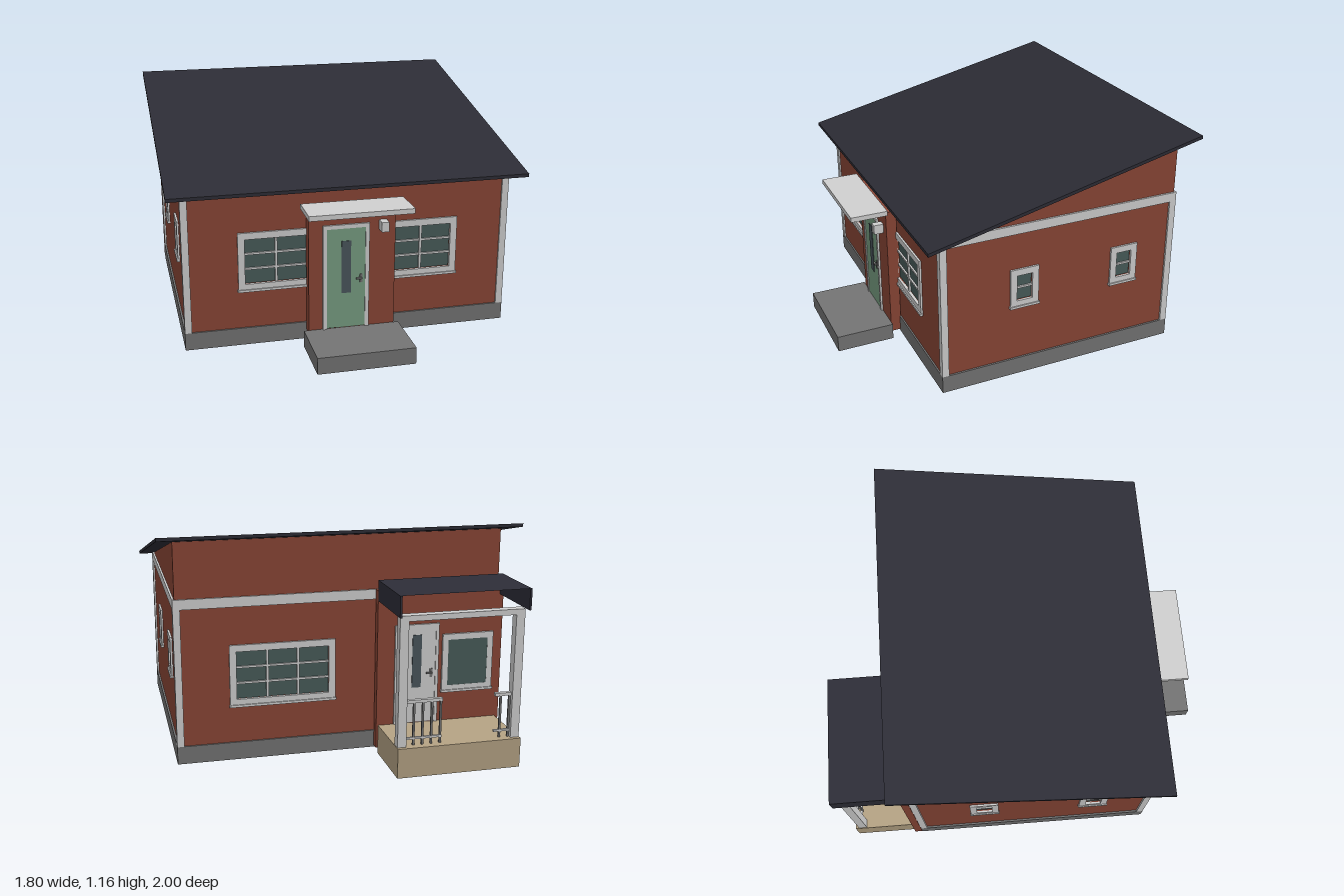
import * as THREE from 'three';

const mat = (name, color, side = THREE.FrontSide) => {
  const m = new THREE.MeshStandardMaterial({ color, side });
  m.name = name;
  return m;
};

export function createModel() {
  const house = new THREE.Group();
  house.name = 'house';
  const brick = mat('brick red', 0x8a4636);
  const dark = mat('roof charcoal', 0x2d2d36);
  const darkOpen = mat('canopy charcoal', 0x2e2e38);
  const white = mat('trim white', 0xd0d0d0);
  const grey = mat('concrete grey', 0x747474);
  const tan = mat('porch tan', 0xb5a384);
  const green = mat('door green', 0x789e82);
  const glass = mat('window glass', 0x485c5a);
  const slit = mat('door glass', 0x4a555c);

  // Box given by its limits on each axis
  const box = (name, m, x0, x1, y0, y1, z0, z1, parent = house) => {
    const mesh = new THREE.Mesh(new THREE.BoxGeometry(x1 - x0, y1 - y0, z1 - z0), m);
    mesh.position.set((x0 + x1) / 2, (y0 + y1) / 2, (z0 + z1) / 2);
    mesh.name = name;
    parent.add(mesh);
    return mesh;
  };

  // Extruded panel with rectangular openings [centre, bottom, width, height]
  const panel = (points, holes, depth) => {
    const s = new THREE.Shape(points.map(p => new THREE.Vector2(...p)));
    for (const [c, y, w, h] of holes) {
      s.holes.push(new THREE.Path([[c - w / 2, y], [c - w / 2, y + h], [c + w / 2, y + h], [c + w / 2, y]]
        .map(p => new THREE.Vector2(...p))));
    }
    return new THREE.ExtrudeGeometry(s, { depth, bevelEnabled: false });
  };
  const addGeo = (name, geo, m) => {
    const mesh = new THREE.Mesh(geo, m);
    mesh.name = name;
    house.add(mesh);
  };

  // Window facing local +z, its origin at the bottom centre
  const makeWindow = (name, w, h, f, cols, rows) => {
    const g = new THREE.Group();
    g.name = name;
    const a = w / 2;
    box('frameBottom', white, -a, a, 0, f, -0.004, 0.01, g);
    box('frameTop', white, -a, a, h - f, h, -0.004, 0.01, g);
    for (const s of [-1, 1]) {
      const c = s * (a - f / 2);
      box('frameSide', white, c - f / 2, c + f / 2, f, h - f, -0.004, 0.01, g);
    }
    box('sill', white, -a - 0.004, a + 0.004, -0.006, 0.006, 0, 0.016, g);
    box('pane', glass, -a + f, a - f, f, h - f, -0.02, -0.006, g);
    for (let i = 1; i < cols; i++) {
      const x = -a + f + (w - 2 * f) * i / cols;
      box('upright', white, x - 0.006, x + 0.006, f, h - f, -0.008, 0.004, g);
    }
    for (let i = 1; i < rows; i++) {
      const y = f + (h - 2 * f) * i / rows;
      box('crossBar', white, -a + f, a - f, y - 0.005, y + 0.005, -0.008, 0.003, g);
    }
    house.add(g);
    return g;
  };
  const place = (g, x, y, z, turn) => {
    g.position.set(x, y, z);
    g.rotation.y = turn;
  };
  const opening = (c, y, w, h, f) => [c, y + f, w - 2 * f, h - 2 * f];

  // Height of the underside of the sloping roof
  const under = z => 0.818 + 0.2295 * (0.73 - z);
  const X = 0.82, ZF = 0.642, ZB = -0.612, T = 0.02;

  // Plinth ring
  box('plinthFront', grey, -0.83, 0.83, 0.02, 0.11, 0.62, 0.65);
  box('plinthBack', grey, -0.83, 0.83, 0.02, 0.11, -0.62, -0.59);
  for (const s of [-1, 1]) box('plinthSide', grey, s * 0.815 - 0.015, s * 0.815 + 0.015, 0.02, 0.11, -0.59, 0.62);

  // Front wall and windows
  const rect = top => [[-X, 0.11], [X, 0.11], [X, top], [-X, top]];
  const F = 0.034;
  addGeo('frontWall', panel(rect(under(ZF)), [-0.37, 0.37].map(c => opening(c, 0.31, 0.38, 0.3, F)), T)
    .translate(0, 0, ZF - T), brick);
  for (const c of [-0.37, 0.37]) place(makeWindow('frontWindow', 0.38, 0.3, F, 2, 3), c, 0.31, ZF, 0);

  // Back wall and its wide window
  addGeo('backWall', panel(rect(under(ZB)), [opening(0.3, 0.3, 0.53, 0.31, F)], T).translate(0, 0, ZB), brick);
  place(makeWindow('backWindow', 0.53, 0.31, F, 3, 3), 0.3, 0.3, ZB, Math.PI);

  // Side walls with a sloping top
  const sideWindows = { '1': [0.215, -0.335], '-1': [0.34, -0.245] };
  for (const s of [-1, 1]) {
    const zs = sideWindows[s];
    const za = ZB + T, zb = ZF - T;
    const geo = panel([[za, 0.11], [zb, 0.11], [zb, under(zb)], [za, under(za)]],
      zs.map(z => opening(z, 0.405, 0.15, 0.205, F)), T);
    geo.rotateY(-Math.PI / 2).translate(s > 0 ? X : -X + T, 0, 0);
    addGeo('sideWall', geo, brick);
    for (const z of zs) place(makeWindow('sideWindow', 0.15, 0.205, F, 1, 2), s * X, 0.405, z, s * Math.PI / 2);
  }

  // Corner boards and the band around the top of the walls
  for (const s of [-1, 1]) {
    const x0 = s > 0 ? 0.795 : -0.83, x1 = x0 + 0.035;
    box('cornerBoardFront', white, x0, x1, 0.11, 0.81, 0.615, 0.65);
    box('cornerBoardBack', white, x0, x1, 0.11, 0.81, -0.62, -0.585);
    box('bandSide', white, s * 0.822 - 0.008, s * 0.822 + 0.008, 0.8, 0.848, -0.62, 0.64);
  }
  box('bandBack', white, -0.83, 0.83, 0.8, 0.85, -0.62, -0.606);
  box('bandFront', white, -0.83, 0.83, 0.805, 0.84, 0.635, 0.65);

  // Single-pitch roof
  const roof = panel([[-0.695, under(-0.695)], [0.73, under(0.73)], [0.73, under(0.73) + 0.017],
    [-0.695, under(-0.695) + 0.017]], [], 1.8);
  addGeo('roof', roof.rotateY(-Math.PI / 2).translate(0.9, 0, 0), dark);

  // Door facing local +z, its origin at the bottom centre
  const makeDoor = (name, m, w, h, f) => {
    const g = new THREE.Group();
    g.name = name;
    const a = w / 2;
    box('doorLeaf', m, -a + f, a - f, 0.004, h - f, 0, 0.006, g);
    box('doorFrameTop', white, -a, a, h - f, h, 0, 0.01, g);
    for (const s of [-1, 1]) {
      const c = s * (a - f / 2);
      box('doorFrameSide', white, c - f / 2, c + f / 2, 0, h - f, 0, 0.01, g);
    }
    box('doorGlass', slit, -0.024, 0.024, 0.19, 0.465, 0.006, 0.009, g);
    box('handlePlate', grey, 0.07, 0.084, 0.24, 0.285, 0.006, 0.01, g);
    box('handle', grey, 0.05, 0.08, 0.26, 0.268, 0.01, 0.02, g);
    house.add(g);
    return g;
  };

  // Front entrance: projecting wall, door, hood, lamp and step
  box('frontEntranceWall', brick, -0.22, 0.22, 0.03, 0.73, 0.645, 0.7);
  place(makeDoor('frontDoor', green, 0.235, 0.55, 0.02), -0.032, 0.085, 0.7, 0);
  box('entranceHood', white, -0.26, 0.255, 0.73, 0.755, 0.7, 0.89);
  box('lamp', white, 0.135, 0.172, 0.595, 0.645, 0.7, 0.75);
  box('frontStep', grey, -0.245, 0.245, 0, 0.085, 0.7, 1.0);

  // Back entrance: projecting wall, door and window
  box('backEntranceWall', brick, -0.83, -0.17, 0.03, 0.85, -0.66, -0.621);
  place(makeDoor('backDoor', white, 0.23, 0.52, 0.016), -0.375, 0.15, -0.66, Math.PI);
  const porchWindow = makeWindow('porchWindow', 0.27, 0.3, 0.03, 2, 3);
  place(porchWindow, -0.645, 0.31, -0.662, Math.PI);
  porchWindow.getObjectByName('pane').position.z = 0.002;

  // Porch base, open underneath
  const [px0, px1, pz0, pz1] = [-0.81, -0.18, -0.985, -0.66];
  box('porchFloor', tan, px0, px1, 0.13, 0.15, pz0, pz1);
  box('porchSkirtBack', tan, px0, px1, 0, 0.13, pz0, pz0 + 0.02);
  box('porchSkirtInner', tan, px0, px1, 0, 0.13, pz1 - 0.02, pz1);
  for (const x of [px0, px1 - 0.02]) box('porchSkirtSide', tan, x, x + 0.02, 0, 0.13, pz0 + 0.02, pz1 - 0.02);

  // Porch posts and beam
  for (const x of [-0.785, -0.205]) box('porchPost', white, x - 0.022, x + 0.022, 0.15, 0.8, -0.966, -0.922);
  box('porchBeam', white, -0.763, -0.227, 0.772, 0.8, -0.966, -0.922);

  // Railings beside the opening
  for (const [a, b] of [[-0.763, -0.68], [-0.41, -0.227]]) {
    box('railTop', white, a, b, 0.365, 0.38, -0.954, -0.934);
    box('railBottom', white, a, b, 0.18, 0.19, -0.95, -0.938);
    const n = Math.round((b - a) / 0.045);
    for (let i = 0; i < n; i++) {
      const x = a + 0.006 + i * 0.045;
      box('baluster', grey, x - 0.005, x + 0.005, 0.15, 0.365, -0.949, -0.939);
    }
  }

  // Porch canopy: a top sheet between two deep side boards
  const sheet = new THREE.PlaneGeometry(0.65, 0.34).rotateX(-Math.PI / 2).translate(-0.495, 0.905, -0.83);
  addGeo('canopyTop', sheet, darkOpen);
  for (const x of [-0.82, -0.18]) box('canopySide', darkOpen, x, x + 0.01, 0.8, 0.904, -1.0, -0.66);

  return house;
}
